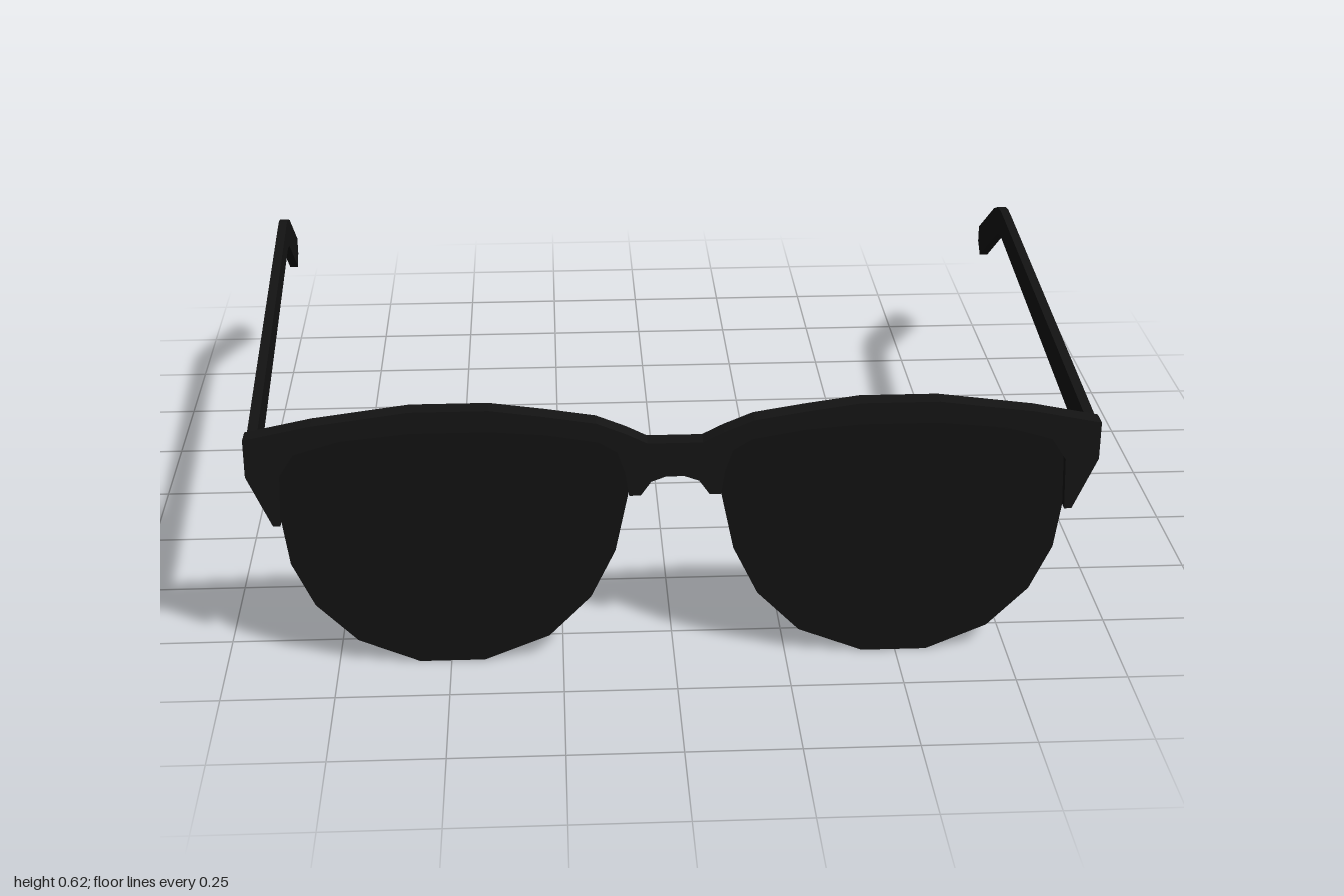
import * as THREE from 'three';

const frameMat = new THREE.MeshStandardMaterial({ color: 0x141414 });
const lensMat = new THREE.MeshStandardMaterial({ color: 0x121212, side: THREE.DoubleSide });

const toShape = (pts) => new THREE.Shape(pts.map(([x, y]) => new THREE.Vector2(x, y)));
const mirror = (pts) => pts.map(([x, y]) => [-x, y]).reverse();

// Half outlines, from the bridge outwards
const browTop = [[0.06, 0.54], [0.105, 0.563], [0.17, 0.59], [0.28, 0.608], [0.4, 0.625],
  [0.57, 0.625], [0.78, 0.597], [0.925, 0.567], [0.925, 0.48], [0.873, 0.36]];
const lensTop = [[0.1, 0.415], [0.108, 0.47], [0.125, 0.52], [0.165, 0.545], [0.28, 0.565], [0.4, 0.575],
  [0.57, 0.575], [0.72, 0.56], [0.82, 0.53], [0.852, 0.48], [0.857, 0.36]];
const lensBottom = [[0.843, 0.255], [0.795, 0.15], [0.705, 0.058], [0.57, 0], [0.425, 0],
  [0.28, 0.058], [0.185, 0.155], [0.13, 0.27]];
const bridgeBottom = [[0.02, 0.46], [0.052, 0.448], [0.075, 0.415]];

// Side profile of a temple arm as [z, y]
const armProfile = [[0.85, 0.483], [0.85, 0.563], [-0.45, 0.549], [-0.51, 0.547], [-0.56, 0.537], [-0.62, 0.512],
  [-0.876, 0.362], [-0.876, 0.318], [-0.83, 0.293], [-0.597, 0.434], [-0.53, 0.472], [-0.475, 0.484]];

function makeBrow() {
  const lower = [...bridgeBottom, ...lensTop].reverse();
  const outline = [...browTop, ...lower, ...mirror(lower), ...mirror(browTop)];
  const geo = new THREE.ExtrudeGeometry(toShape(outline), { depth: 0.042, bevelEnabled: false });
  geo.translate(0, 0, 0.834);
  return new THREE.Mesh(geo, frameMat);
}

function makeLens(side) {
  const pts = [...lensTop, ...lensBottom];
  const geo = new THREE.ShapeGeometry(toShape(side > 0 ? pts : mirror(pts)));
  geo.translate(0, 0, 0.855);
  return new THREE.Mesh(geo, lensMat);
}

// Flat arm, splayed outwards towards the ear end
function makeArm(side) {
  const t = 0.022;
  const geo = new THREE.ExtrudeGeometry(toShape(armProfile), { depth: t, bevelEnabled: false });
  const p = geo.attributes.position;
  for (let i = 0; i < p.count; i++) {
    const z = p.getX(i), d = p.getZ(i);
    const outer = 0.959 - 0.0468 * z;
    p.setXYZ(i, side > 0 ? outer - d : t - outer - d, p.getY(i), z);
  }
  geo.computeVertexNormals();
  return new THREE.Mesh(geo, frameMat);
}

export function createModel() {
  const group = new THREE.Group();
  group.name = 'sunglasses';
  const add = (mesh, name) => { mesh.name = name; group.add(mesh); };
  add(makeBrow(), 'browFrame');
  for (const [side, label] of [[1, 'left'], [-1, 'right']]) {
    add(makeLens(side), label + 'Lens');
    add(makeArm(side), label + 'Temple');
  }
  return group;
}
